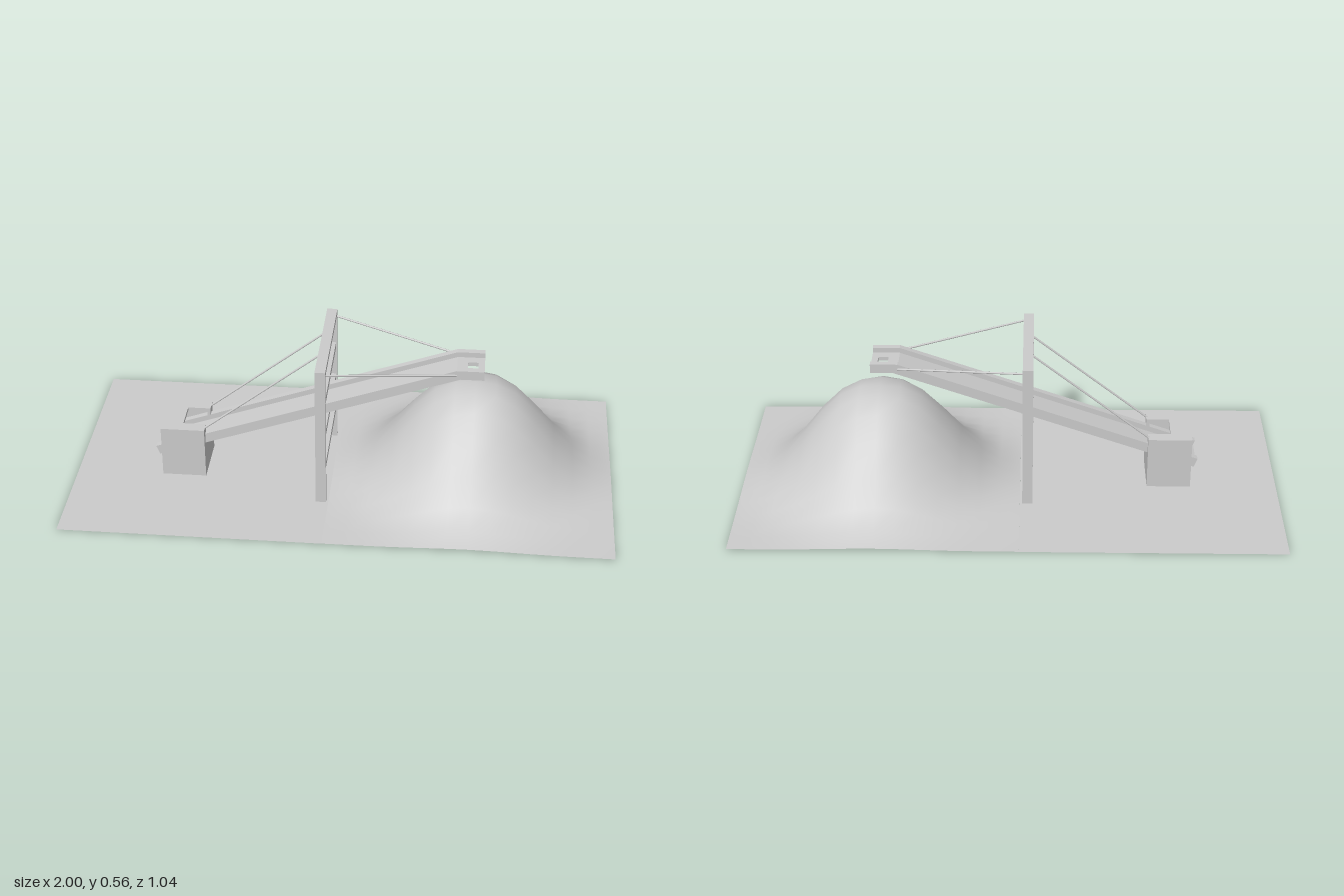
import * as THREE from 'three';

const CZ = 0.033; // centre line of the conveyor machinery

export function createModel() {
  const model = new THREE.Group();
  const mat = new THREE.MeshStandardMaterial({ color: 0xcccccc });
  const sheet = new THREE.MeshStandardMaterial({ color: 0xcccccc, side: THREE.DoubleSide });

  const add = (name, geo, material = mat, parent = model) => {
    const mesh = new THREE.Mesh(geo, material);
    mesh.name = name;
    parent.add(mesh);
    return mesh;
  };
  const group = (name) => {
    const g = new THREE.Group();
    g.name = name;
    model.add(g);
    return g;
  };
  const box = (name, [x0, x1], [y0, y1], [z0, z1], parent) =>
    add(name, new THREE.BoxGeometry(x1 - x0, y1 - y0, z1 - z0), mat, parent)
      .position.set((x0 + x1) / 2, (y0 + y1) / 2, (z0 + z1) / 2);
  const shape = (pts) => new THREE.Shape(pts.map(([x, y]) => new THREE.Vector2(x, y)));
  const extrude = (s, depth) =>
    new THREE.ExtrudeGeometry(s, { depth, bevelEnabled: false }).translate(0, 0, -depth / 2);
  const rod = (name, a, b, parent) =>
    add(name, new THREE.TubeGeometry(
      new THREE.LineCurve3(new THREE.Vector3(...a), new THREE.Vector3(...b)), 1, 0.004, 8), mat, parent);

  // Flat yard
  add('ground', new THREE.PlaneGeometry(0.96, 1.04).rotateX(-Math.PI / 2).translate(-0.52, 0, 0), sheet);

  // Heap of loose material: a bell-shaped sheet with a rounded top
  const heap = new THREE.PlaneGeometry(1.04, 1.044, 14, 14).rotateX(-Math.PI / 2);
  const p = heap.attributes.position;
  for (let i = 0; i < p.count; i++) {
    const r = Math.hypot(p.getX(i), p.getZ(i));
    p.setY(i, 0.002 + 0.384 * Math.exp(-Math.pow(r / 0.322, 2.84)));
  }
  heap.computeVertexNormals();
  add('heap', heap.translate(0.48, 0, 0), sheet);

  // Conveyor: two bent side rails with a lower belt between them
  const conveyor = group('conveyor');
  conveyor.position.z = CZ;
  const profile = (drop) => shape([
    [-0.703 + drop / 3, 0.108 - drop], [-0.69, 0.074], [0.425, 0.461],
    [0.51, 0.461], [0.51, 0.496 - drop], [0.41, 0.496 - drop],
  ]);
  for (const s of [-1, 1])
    add('sideRail', extrude(profile(0), 0.024), mat, conveyor).position.z = s * 0.067;
  add('belt', extrude(shape([
    [-0.698, 0.088], [-0.69, 0.074], [0.425, 0.461], [0.425, 0.476], [0.41, 0.476],
  ]), 0.11), mat, conveyor);

  // Discharge plate with a square outlet
  const plate = shape([[0.425, -0.055], [0.51, -0.055], [0.51, 0.055], [0.425, 0.055]]);
  plate.holes.push(new THREE.Path([[0.449, -0.02], [0.449, 0.02], [0.487, 0.02], [0.487, -0.02]]
    .map(([x, y]) => new THREE.Vector2(x, y))));
  add('dischargePlate', extrude(plate, 0.015).rotateX(-Math.PI / 2), mat, conveyor).position.y = 0.4685;

  // Hopper: hollow box, notched towards the conveyor, open behind for its tail
  const hopper = group('hopper');
  hopper.position.z = CZ;
  const T = 0.012;
  for (const s of [-1, 1])
    box('hopperSide', [-0.678, -0.515], [0, 0.2], s > 0 ? [0.101 - T, 0.101] : [-0.101, -0.101 + T], hopper);
  add('hopperTop', extrude(shape([
    [-0.678, -0.101], [-0.515, -0.101], [-0.515, -0.055], [-0.6, -0.055],
    [-0.6, 0.055], [-0.515, 0.055], [-0.515, 0.101], [-0.678, 0.101],
  ]), T).rotateX(-Math.PI / 2), mat, hopper).position.y = 0.2 - T / 2;
  add('hopperFront', extrude(shape([
    [-0.101, 0], [0.101, 0], [0.101, 0.2], [0.055, 0.2],
    [0.055, 0.13], [-0.055, 0.13], [-0.055, 0.2], [-0.101, 0.2],
  ]), T).rotateY(Math.PI / 2), mat, hopper).position.x = -0.515 - T / 2;
  const back = shape([[-0.101, 0], [0.101, 0], [0.101, 0.2], [-0.101, 0.2]]);
  back.holes.push(new THREE.Path([[-0.084, 0.05], [-0.084, 0.165], [0.084, 0.165], [0.084, 0.05]]
    .map(([x, y]) => new THREE.Vector2(x, y))));
  add('hopperBack', extrude(back, T).rotateY(Math.PI / 2), mat, hopper).position.x = -0.678 + T / 2;

  // Support frame: two posts, a top beam and three evenly spaced cross beams
  const frame = group('supportFrame');
  frame.position.z = CZ;
  const X = [-0.087, -0.049];
  for (const s of [-1, 1])
    box('post', X, [0, 0.535], s > 0 ? [0.216, 0.232] : [-0.232, -0.216], frame);
  box('topBeam', X, [0.535, 0.555], [-0.232, 0.232], frame);
  for (const y of [0.408, 0.271, 0.134])
    box('crossBeam', [-0.083, -0.053], [y - 0.012, y + 0.012], [-0.216, 0.216], frame);

  // Stay cables from the frame to the hopper and to the conveyor head
  const cables = group('cables');
  cables.position.z = CZ;
  for (const s of [-1, 1]) {
    rod('rearCable', [-0.52, 0.196, s * 0.078], [-0.08, 0.54, s * 0.078], cables);
    rod('headCable', [-0.055, 0.535, s * 0.217], [0.41, 0.476, s * 0.077], cables);
  }
  return model;
}
